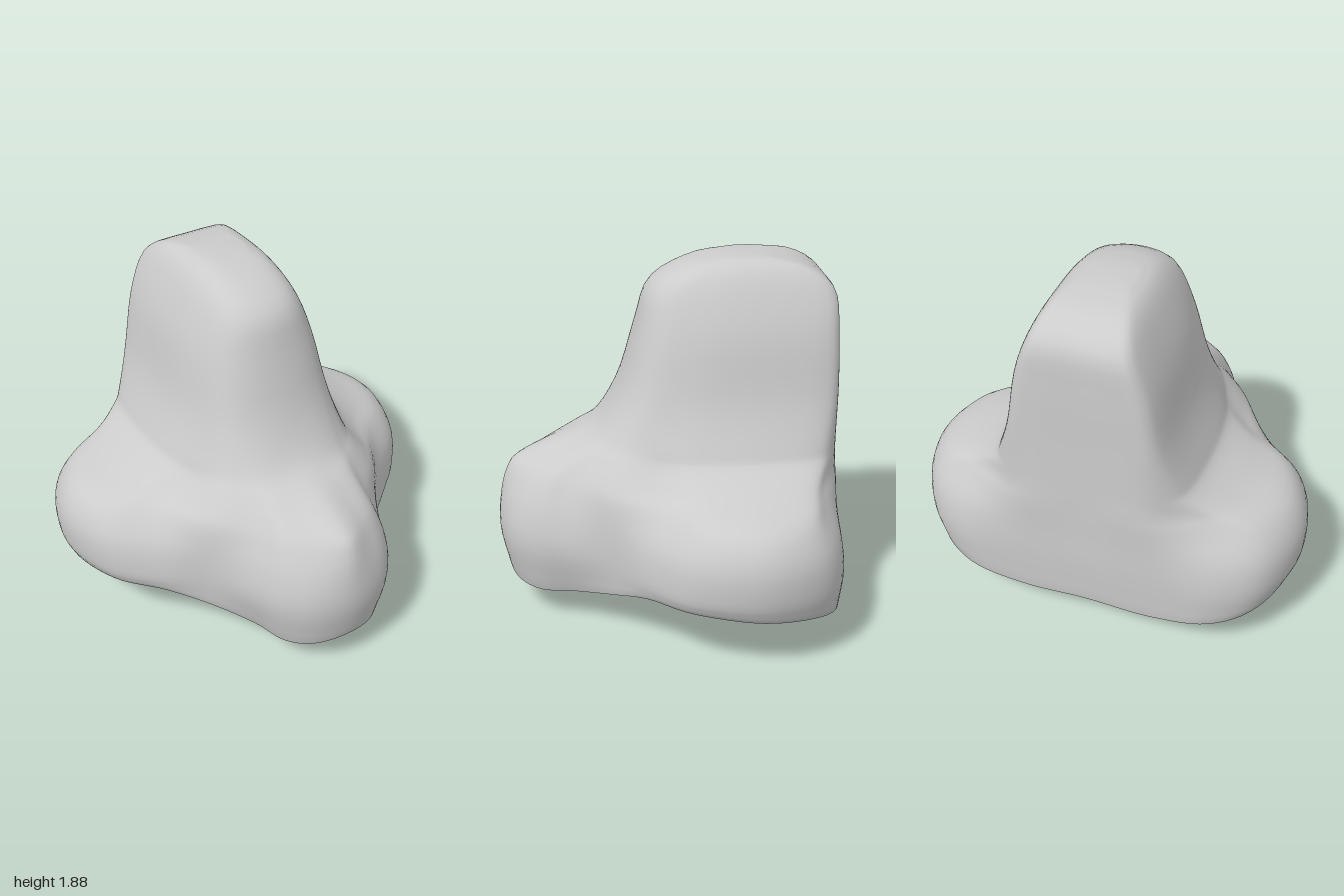
import * as THREE from 'three';
import { mergeVertices } from 'three/addons/utils/BufferGeometryUtils.js';

// Half outline, back centre round the side to the front tip
const LOBES = [[0, -.86], [.36, -.86], [.68, -.84], [.9, -.7], [1, -.4], [.92, -.07],
  [.72, .14], [.53, .3], [.41, .52], [.33, .69], [.2, .81], [0, .86]];
const BRIDGE = [[0, 0], [.58, 0], [.86, .02], [.97, .12], [1, .38], [.98, .6],
  [.91, .75], [.81, .86], [.67, .925], [.5, .965], [.28, .99], [0, 1]];
const RIM_Y = [.18, .17, .21, .27, .31, .335, .32, .25, .2, .18, .19, .21];
const FIRST_TIP = 8, ALA_Z = -.36, TIP_Z = .35;

// y, bridge half width, bridge back z, bridge front z, side lobe share, tip share, lobe fullness
const LEVELS = [
  [1.88, .12, -.5, -.3, 0, 0, 1], [1.84, .2, -.7, -.11, 0, 0, 1], [1.73, .27, -.84, .07, 0, 0, 1],
  [1.52, .35, -.86, .14, 0, 0, 1], [1.22, .41, -.86, .23, 0, 0, 1], [1.0, .44, -.86, .36, .1, 0, .5],
  [.92, .45, -.86, .39, .18, .34, .55], [.83, .46, -.86, .4, .48, .76, .64],
  [.75, .46, -.86, .4, .84, .9, .77], [.6, .46, -.86, .4, 1, .98, .94], [.42, .46, -.86, .4, 1, 1, 1]];

const STEPS = 6, ROWS = 40, UNDER = 40;
const lerp = THREE.MathUtils.lerp;

// Mirror a half outline and round it into a closed ring
function ring(half) {
  const other = half.slice(1, -1).reverse().map(p => new THREE.Vector3(-p.x, p.y, p.z));
  const curve = new THREE.CatmullRomCurve3([...half, ...other], true, 'catmullrom', .5);
  const n = (half.length + other.length) * STEPS;
  return Array.from({ length: n }, (_, i) => curve.getPoint(i / n));
}

// Blend the bridge section into the side lobes and tip, which narrow towards their tops
function levelRing([y, w, back, front, side, tip, full]) {
  return ring(LOBES.map(([lx, lz], i) => {
    const isTip = i >= FIRST_TIP, isSide = i > 1 && i < FIRST_TIP - 1;
    const share = isTip ? tip : i === FIRST_TIP - 1 ? (side + tip) / 2 : side;
    const x = isTip ? lx * lerp(1, full, .6) : lx;
    let z = lz;
    if (isSide) z = lerp(ALA_Z, lz, full);
    else if (isTip && lx > 0) z = lerp(TIP_Z, lz, lerp(1, full, .5));
    const [u, v] = BRIDGE[i];
    return new THREE.Vector3(lerp(w * u, x, share), y, lerp(lerp(back, front, v), z, share));
  }));
}

// Underside: runs from the rim to the rounded septum, with two nostrils pressed upwards
function undersidePoint(p, t) {
  const s = 1 - t;
  const sz = THREE.MathUtils.clamp(p.z, -.55, .5);
  const sy = .22 * (sz + .2) ** 2;
  const x = p.x * s, z = lerp(sz, p.z, s);
  const y = lerp(sy, p.y, s * s / (.9 * s + .1));
  const d = Math.hypot((Math.abs(x) - .545) / .4, (z + .33) / .49);
  return new THREE.Vector3(x, y + .38 * THREE.MathUtils.smoothstep(1 - d, 0, .55), z);
}

export function createModel() {
  const group = new THREE.Group();
  group.name = 'nose';

  const rim = ring(LOBES.map(([x, z], i) => i < FIRST_TIP
    ? new THREE.Vector3(x * .96, RIM_Y[i], z * .985)
    : new THREE.Vector3(x * .88, RIM_Y[i], z * .95)));
  const rings = [...LEVELS.map(levelRing), rim];
  const n = rim.length;

  // Smooth each column of points from the top down to the rim
  const columns = rim.map((_, i) =>
    new THREE.CatmullRomCurve3(rings.map(r => r[i]), false, 'catmullrom', .5));
  const rows = [rim.map(() => new THREE.Vector3(0, 1.88, -.4))];
  for (let j = 0; j <= ROWS; j++) rows.push(columns.map(c => c.getPoint(j / ROWS)));
  for (let j = 1; j <= UNDER; j++) rows.push(rim.map(p => undersidePoint(p, j / UNDER)));

  const positions = [], index = [];
  rows.forEach((row, j) => row.forEach((p, i) => {
    positions.push(p.x, p.y, p.z);
    if (j === rows.length - 1) return;
    const a = j * n + i, b = j * n + (i + 1) % n;
    index.push(a, b, b + n, a, b + n, a + n);
  }));

  let geometry = new THREE.BufferGeometry();
  geometry.setAttribute('position', new THREE.Float32BufferAttribute(positions, 3));
  geometry.setIndex(index);
  geometry = mergeVertices(geometry, 1e-4);
  geometry.computeVertexNormals();

  const skin = new THREE.Mesh(geometry, new THREE.MeshStandardMaterial({ color: 0xcccccc }));
  skin.name = 'noseSkin';
  group.add(skin);
  return group;
}
